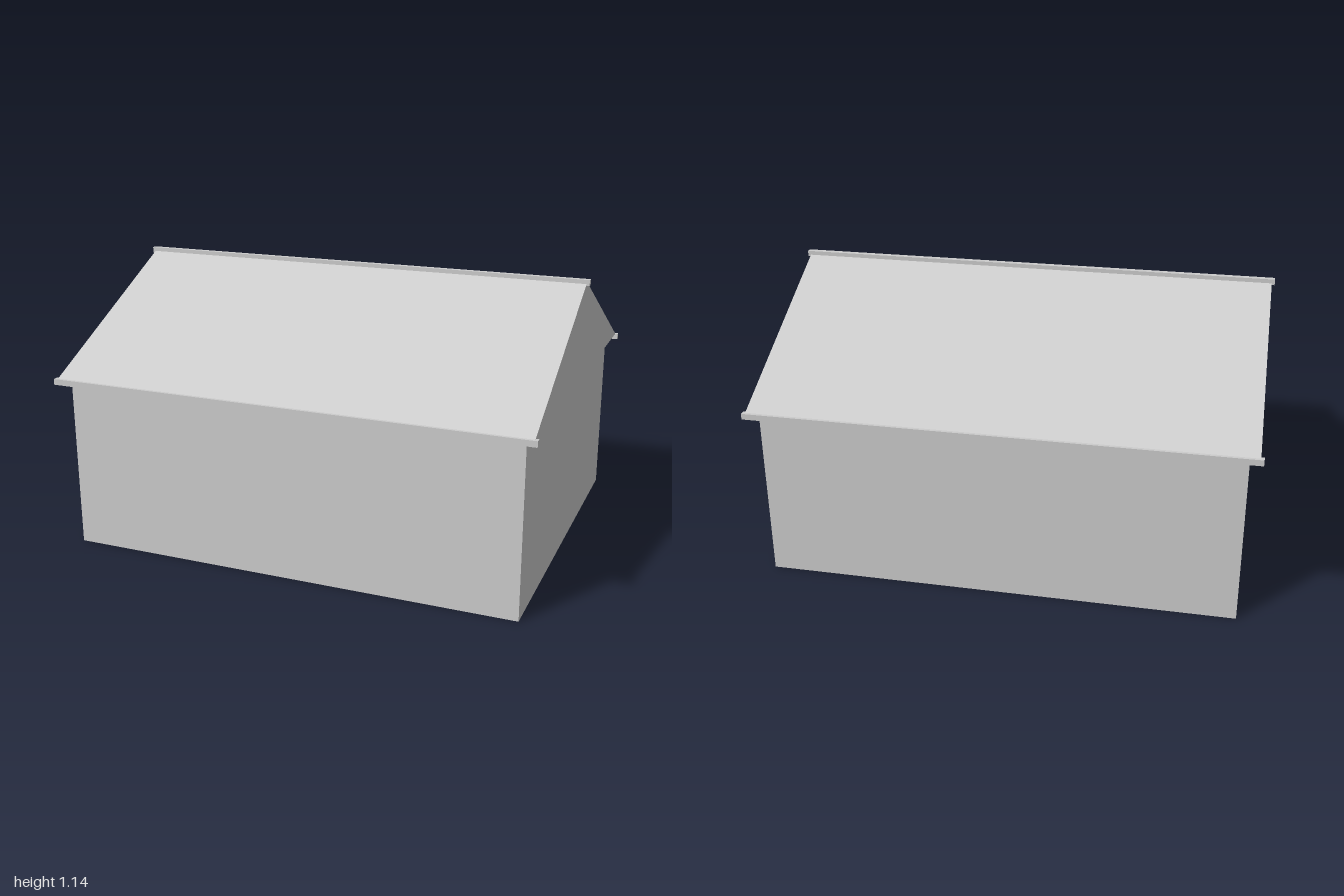
import * as THREE from 'three';

export function createModel() {
  const model = new THREE.Group();
  const lightGrey = new THREE.MeshStandardMaterial({ color: 0xcccccc });
  lightGrey.name = 'lightGrey';

  function add(name, geometry, x, y, z) {
    const mesh = new THREE.Mesh(geometry, lightGrey);
    mesh.name = name;
    mesh.position.set(x, y, z);
    model.add(mesh);
    return mesh;
  }

  // Main body of the house
  const eaveY = 0.727;
  add('walls', new THREE.BoxGeometry(1.9, eaveY, 1.52), 0, eaveY / 2, 0);

  // Solid gable roof, extruded along the ridge
  const halfSpan = 0.8, rise = 0.4, roofLength = 1.976;
  const gable = new THREE.Shape();
  gable.moveTo(-halfSpan, 0);
  gable.lineTo(halfSpan, 0);
  gable.lineTo(0, rise);
  gable.closePath();
  const roof = new THREE.ExtrudeGeometry(gable, { depth: roofLength, bevelEnabled: false });
  roof.translate(0, 0, -roofLength / 2);
  roof.rotateY(Math.PI / 2);
  add('roof', roof, 0, eaveY, 0);

  // Square trim rails along the ridge and both eaves
  const rail = (name, y, z) => add(name, new THREE.BoxGeometry(2, 0.024, 0.023), 0, y, z);
  rail('ridgeCap', 1.126, 0);
  rail('frontEaveTrim', 0.716, 0.799);
  rail('backEaveTrim', 0.716, -0.799);

  return model;
}
